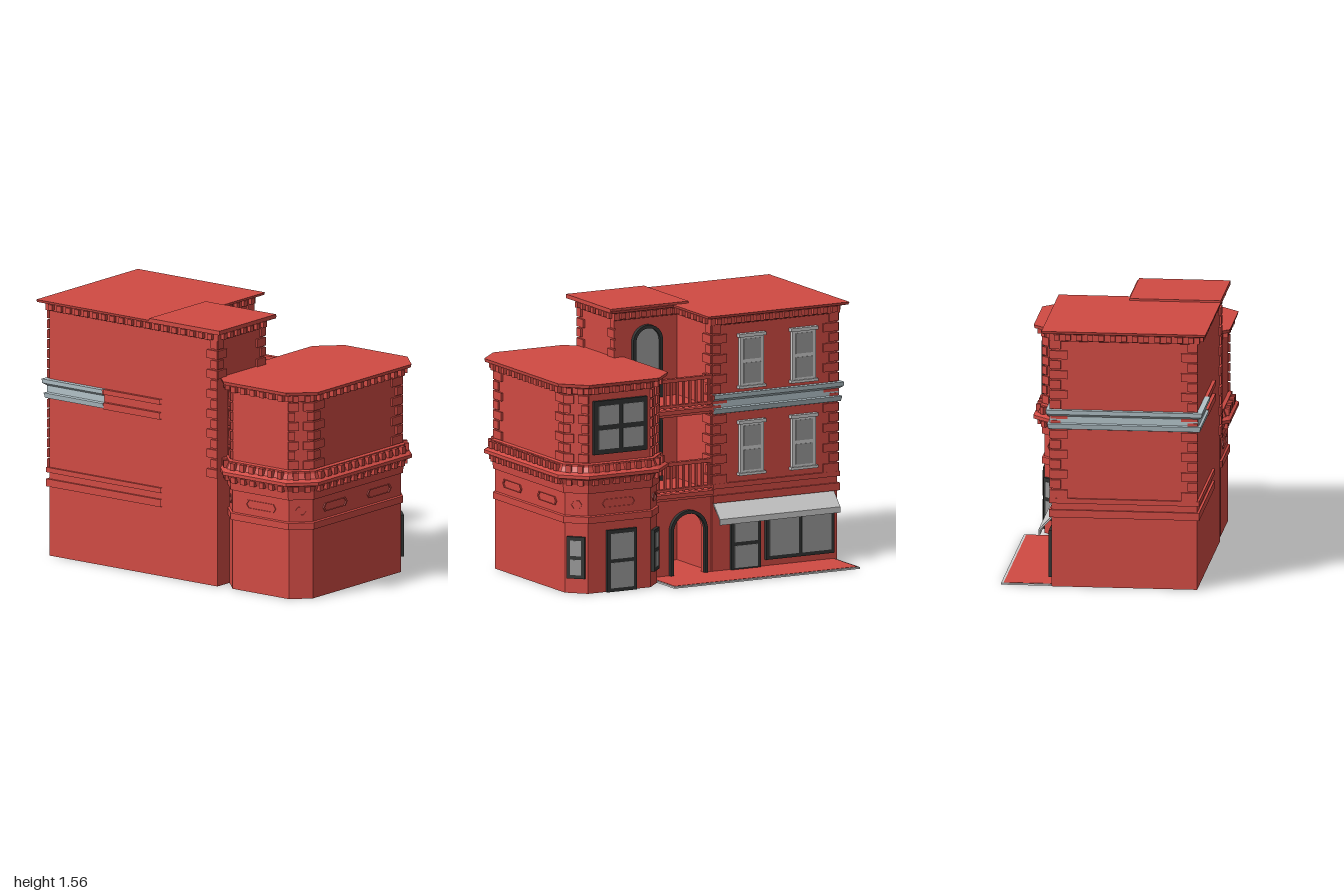
import * as THREE from 'three';

const mat = (color) => new THREE.MeshStandardMaterial({ color, flatShading: true, side: THREE.DoubleSide });
const RED = mat(0xd04a43), DARK = mat(0x303332), GLASS = mat(0x999999), GREY = mat(0xcccccc), STONE = mat(0xb2c2c8);

// Plans run front-left, front-right, back-right, back-left as [x, z]
const MAIN = [[-0.95, 0.55], [0.305, 0.55], [0.305, 0.11], [-0.11, 0.11], [-0.11, -0.31], [-0.95, -0.31]];
const TOWER = [[0.41, 0.54], [0.83, 0.54], [0.93, 0.44], [0.93, -0.4], [0.83, -0.5], [0.41, -0.5], [0.31, -0.4], [0.31, 0.44]];

function add(parent, name, geometry, material, x = 0, y = 0, z = 0) {
  const m = new THREE.Mesh(geometry, material);
  m.name = name;
  m.position.set(x, y, z);
  parent.add(m);
  return m;
}
const box = (p, name, material, w, h, d, x, y, z) => add(p, name, new THREE.BoxGeometry(w, h, d), material, x, y, z);

function group(parent, name) {
  const g = new THREE.Group();
  g.name = name;
  parent.add(g);
  return g;
}

// Moves a plan outward by d with mitred corners
function offset(path, d, closed) {
  const n = path.length;
  const normal = (i) => {
    const a = path[i], b = path[(i + 1) % n], l = Math.hypot(b[0] - a[0], b[1] - a[1]);
    return [-(b[1] - a[1]) / l, (b[0] - a[0]) / l];
  };
  return path.map((p, i) => {
    const n1 = normal(closed ? (i + n - 1) % n : Math.max(i - 1, 0));
    const n2 = normal(closed ? i : Math.min(i, n - 2));
    const k = d / (1 + n1[0] * n2[0] + n1[1] * n2[1]);
    return [p[0] + k * (n1[0] + n2[0]), p[1] + k * (n1[1] + n2[1])];
  });
}

// Sweeps a profile of [outward offset, height] around a plan, with an optional flat top
function sweep(path, profile, closed = true, cap = false) {
  const rings = profile.map(([d, y]) => offset(path, d, closed).map(([x, z]) => [x, y, z]));
  const pos = [], n = path.length;
  for (let r = 0; r + 1 < rings.length; r++) {
    for (let i = 0; i < (closed ? n : n - 1); i++) {
      const j = (i + 1) % n, lo = rings[r], hi = rings[r + 1];
      pos.push(...lo[i], ...lo[j], ...hi[j], ...lo[i], ...hi[j], ...hi[i]);
    }
  }
  if (cap) {
    const top = rings[rings.length - 1];
    const flat = top.map(([x, , z]) => new THREE.Vector2(x, -z));
    for (const t of THREE.ShapeUtils.triangulateShape(flat, [])) for (const i of t) pos.push(...top[i]);
  }
  const g = new THREE.BufferGeometry();
  g.setAttribute('position', new THREE.Float32BufferAttribute(pos, 3));
  g.computeVertexNormals();
  return g;
}

// Group on wall i of a plan: x along the wall, z outward
function wall(parent, plan, i, name) {
  const a = plan[i], b = plan[(i + 1) % plan.length];
  const g = group(parent, name);
  g.position.set((a[0] + b[0]) / 2, 0, (a[1] + b[1]) / 2);
  g.rotation.y = Math.atan2(a[1] - b[1], b[0] - a[0]);
  g.userData.length = Math.hypot(b[0] - a[0], b[1] - a[1]);
  return g;
}

function dentils(parent, plan, y, h, d) {
  plan.forEach((_, i) => {
    const f = wall(parent, plan, i, 'dentils'), L = f.userData.length;
    const n = Math.max(2, Math.round(L / 0.065));
    for (let k = 0; k < n; k++) box(f, 'dentil', RED, 0.032, h, d, ((k + 0.5) / n - 0.5) * L, y, d / 2);
  });
}

// Alternating corner blocks at the chosen ends (-1 start, 1 finish) of a wall
function quoins(parent, plan, i, y0, y1, ends, long, short) {
  const f = wall(parent, plan, i, 'quoins'), L = f.userData.length;
  const n = Math.round((y1 - y0) / 0.06), step = (y1 - y0) / n;
  for (const e of ends) for (let k = 0; k < n; k++) {
    const w = k % 2 ? short : long;
    box(f, 'quoin', RED, w, step * 0.84, 0.014, e * (L / 2 - w / 2 + 0.005), y0 + (k + 0.5) * step, 0.006);
  }
}

// Framed window or door with a grid of panes
function sash(f, name, x, y, w, h, frame, cols = 1, rows = 2, border = 0.022) {
  const g = group(f, name);
  g.position.set(x, y, 0);
  box(g, 'frame', frame, w, h, 0.04, 0, h / 2, 0);
  const cw = (w - border) / cols, ch = (h - border) / rows;
  for (let c = 0; c < cols; c++) for (let r = 0; r < rows; r++) {
    box(g, 'pane', GLASS, cw - border, ch - border, 0.006,
      (c + 0.5 - cols / 2) * cw, border / 2 + (r + 0.5) * ch, 0.02);
  }
  return g;
}

function archPath(Type, w, h, x = 0) {
  const s = new Type(), r = w / 2;
  s.moveTo(x - r, 0);
  s.lineTo(x + r, 0);
  s.lineTo(x + r, h - r);
  s.absarc(x, h - r, r, 0, Math.PI, false);
  s.lineTo(x - r, 0);
  return s;
}
const extrude = (s, depth) => new THREE.ExtrudeGeometry(s, { depth, bevelEnabled: false, curveSegments: 10 });

function archFrame(f, name, x, y, w, h, glazed) {
  const g = group(f, name);
  g.position.set(x, y, 0);
  const s = archPath(THREE.Shape, w, h);
  s.holes.push(archPath(THREE.Path, w - 0.04, h - 0.02));
  add(g, 'arch', extrude(s, 0.025), DARK);
  if (glazed) add(g, 'glass', extrude(archPath(THREE.Shape, w - 0.04, h - 0.02), 0.008), GLASS);
}

function mainBuilding(root) {
  const g = group(root, 'mainBuilding');
  add(g, 'walls', sweep(MAIN, [[0, 0], [0, 1.5]]), RED);
  add(g, 'roofCornice', sweep(MAIN, [[0, 1.48], [0.015, 1.485], [0.015, 1.525], [0.05, 1.535], [0.055, 1.55]], true, true), RED);
  box(g, 'raisedRoof', RED, 0.525, 0.024, 0.54, 0.1, 1.55, 0.335);
  dentils(g, MAIN, 1.51, 0.034, 0.036);

  // String courses around the left wing
  const course = [[-0.11, -0.31], [-0.95, -0.31], [-0.95, 0.55], [-0.11, 0.55]];
  const stone = [...course.slice(0, 3), [-0.53, 0.55]], rest = [[-0.53, 0.55], [-0.11, 0.55]];
  const ledge = (a, b, d) => [[0, a], [d, a], [d, b], [0, b]];
  add(g, 'stoneCourse', sweep(stone, [[0, 0.95], [0.018, 0.955], [0.024, 0.985], [0.01, 0.99], [0.01, 1.03],
    [0.03, 1.045], [0.032, 1.07], [0, 1.07]], false), STONE);
  for (const [a, b] of [[0.95, 0.99], [1.04, 1.07]]) add(g, 'upperCourse', sweep(rest, ledge(a, b, 0.02), false), RED);
  for (const [a, b] of [[0.42, 0.465], [0.505, 0.535]]) add(g, 'lowerCourse', sweep(course, ledge(a, b, 0.014), false), RED);

  quoins(g, MAIN, 0, 0.65, 1.49, [1], 0.075, 0.045);
  quoins(g, MAIN, 1, 1.25, 1.49, [-1, 1], 0.08, 0.045);
  quoins(g, MAIN, 3, 0.53, 1.49, [1], 0.1, 0.06);
  quoins(g, MAIN, 4, 0.53, 1.49, [-1, 1], 0.1, 0.06);
  quoins(g, MAIN, 5, 0.53, 1.49, [-1, 1], 0.1, 0.06);

  // Shop side: wall x runs towards the model's right, centred on x = -0.53
  const f = wall(g, MAIN, 4, 'shopWall');
  for (const y of [0.58, 1.1]) for (const x of [-0.16, 0.19]) {
    const w = sash(f, 'window', x, y, 0.16, 0.31, GREY);
    box(w, 'sill', GREY, 0.18, 0.016, 0.05, 0, 0, 0.005);
    box(w, 'lintel', GREY, 0.18, 0.02, 0.05, 0, 0.31, 0.005);
  }
  sash(f, 'shopDoor', -0.2, 0, 0.2, 0.33, DARK);
  sash(f, 'shopWindow', 0.165, 0.05, 0.46, 0.28, DARK, 2, 1);
  const s = new THREE.Shape([[0, 0.42], [0.08, 0.335], [0.08, 0.3], [0.072, 0.3], [0.072, 0.33], [0, 0.405]]
    .map(([z, y]) => new THREE.Vector2(z, y)));
  add(f, 'awning', extrude(s, 0.81), GREY, 0.4).rotation.y = -Math.PI / 2;
}

function tower(root) {
  const g = group(root, 'cornerTower');
  add(g, 'walls', sweep(TOWER, [[0, 0], [0, 1.2]]), RED);
  add(g, 'band', sweep(TOWER, [[0, 0.42], [0.012, 0.42], [0.012, 0.46], [0, 0.465]]), RED);
  add(g, 'middleCornice', sweep(TOWER, [[0, 0.6], [0.012, 0.6], [0.015, 0.65], [0.03, 0.685], [0.062, 0.695], [0.062, 0.715],
    [0.035, 0.73], [0.022, 0.76], [0.022, 0.775], [0, 0.78]]), RED);
  add(g, 'roofCornice', sweep(TOWER, [[0, 1.19], [0.015, 1.195], [0.015, 1.23], [0.055, 1.24], [0.06, 1.26]], true, true), RED);
  dentils(g, TOWER, 0.667, 0.034, 0.042);
  dentils(g, TOWER, 0.75, 0.042, 0.05);
  dentils(g, TOWER, 1.215, 0.036, 0.042);

  TOWER.forEach((_, i) => {
    // Corner blocks on every chamfer and on the long side walls
    if (i % 2) quoins(g, TOWER, i, 0.78, 1.19, [-1, 1], 0.062, 0.04);
    else if (i === 2 || i === 6) quoins(g, TOWER, i, 0.78, 1.19, [-1, 1], 0.1, 0.06);

    // Raised hexagonal panels
    const f = wall(g, TOWER, i, 'panels'), L = f.userData.length;
    const h = L < 0.2 ? 0.035 : 0.115, t = h - 0.018;
    const hex = (k) => [[-h, 0], [-t, -0.025], [t, -0.025], [h, 0], [t, 0.025], [-t, 0.025]]
      .map(([x, y]) => new THREE.Vector2(x * k, y * k));
    for (const x of L > 0.6 ? [-0.21, 0.21] : [0]) {
      const shape = new THREE.Shape(hex(1));
      shape.holes.push(new THREE.Path(hex(0.88)));
      add(f, 'panel', extrude(shape, 0.006), RED, x, 0.53, 0);
    }
  });

  // Street openings
  const back = wall(g, TOWER, 4, 'streetWall');
  sash(back, 'bayWindow', 0, 0.83, 0.36, 0.32, DARK, 2, 2, 0.03);
  sash(back, 'door', 0.01, 0, 0.2, 0.37, DARK);
  for (const i of [3, 5]) sash(wall(g, TOWER, i, 'chamferWall'), 'window', 0, 0.09, 0.11, 0.25, DARK);
}

function balconies(root) {
  const g = group(root, 'entranceBay');
  const cx = 0.1, w = 0.42;
  // Porch wall with an open arch
  const s = new THREE.Shape([[-w / 2, 0], [w / 2, 0], [w / 2, 0.48], [-w / 2, 0.48]].map((p) => new THREE.Vector2(...p)));
  s.holes.push(archPath(THREE.Path, 0.22, 0.38, -0.05));
  add(g, 'porchWall', extrude(s, 0.03), RED, cx, 0, -0.3);
  const front = group(g, 'porchFront');
  front.position.set(cx, 0, -0.3);
  front.rotation.y = Math.PI;
  archFrame(front, 'porchArch', 0.05, 0, 0.25, 0.395, false);

  const inner = wall(g, MAIN, 2, 'recessWall');
  for (const y of [0, 0.5, 1]) archFrame(inner, 'archedDoor', 0, y, 0.2, y ? 0.44 : 0.38, true);

  for (const y of [0.5, 1]) {
    box(g, 'balconyFloor', RED, w, 0.04, 0.42, cx, y - 0.02, -0.1);
    box(g, 'balconyEdge', RED, w, 0.025, 0.04, cx, y - 0.01, -0.31);
    const r = group(g, 'railing');
    box(r, 'topRail', RED, w, 0.022, 0.03, cx, y + 0.18, -0.305);
    box(r, 'bottomRail', RED, w, 0.015, 0.024, cx, y + 0.025, -0.305);
    for (let k = 0; k < 10; k++) box(r, 'baluster', RED, 0.014, 0.17, 0.014, cx + (k - 4.5) * 0.042, y + 0.095, -0.305);
  }
}

export function createModel() {
  const root = new THREE.Group();
  root.name = 'cornerBuilding';
  mainBuilding(root);
  tower(root);
  balconies(root);
  // Pavement with a grey kerb, running into the porch
  box(root, 'kerb', GREY, 1.25, 0.01, 0.3, -0.315, 0.005, -0.46);
  box(root, 'pavement', RED, 1.23, 0.01, 0.29, -0.315, 0.007, -0.45);
  box(root, 'porchFloor', RED, 0.42, 0.01, 0.42, 0.1, 0.006, -0.1);
  return root;
}
